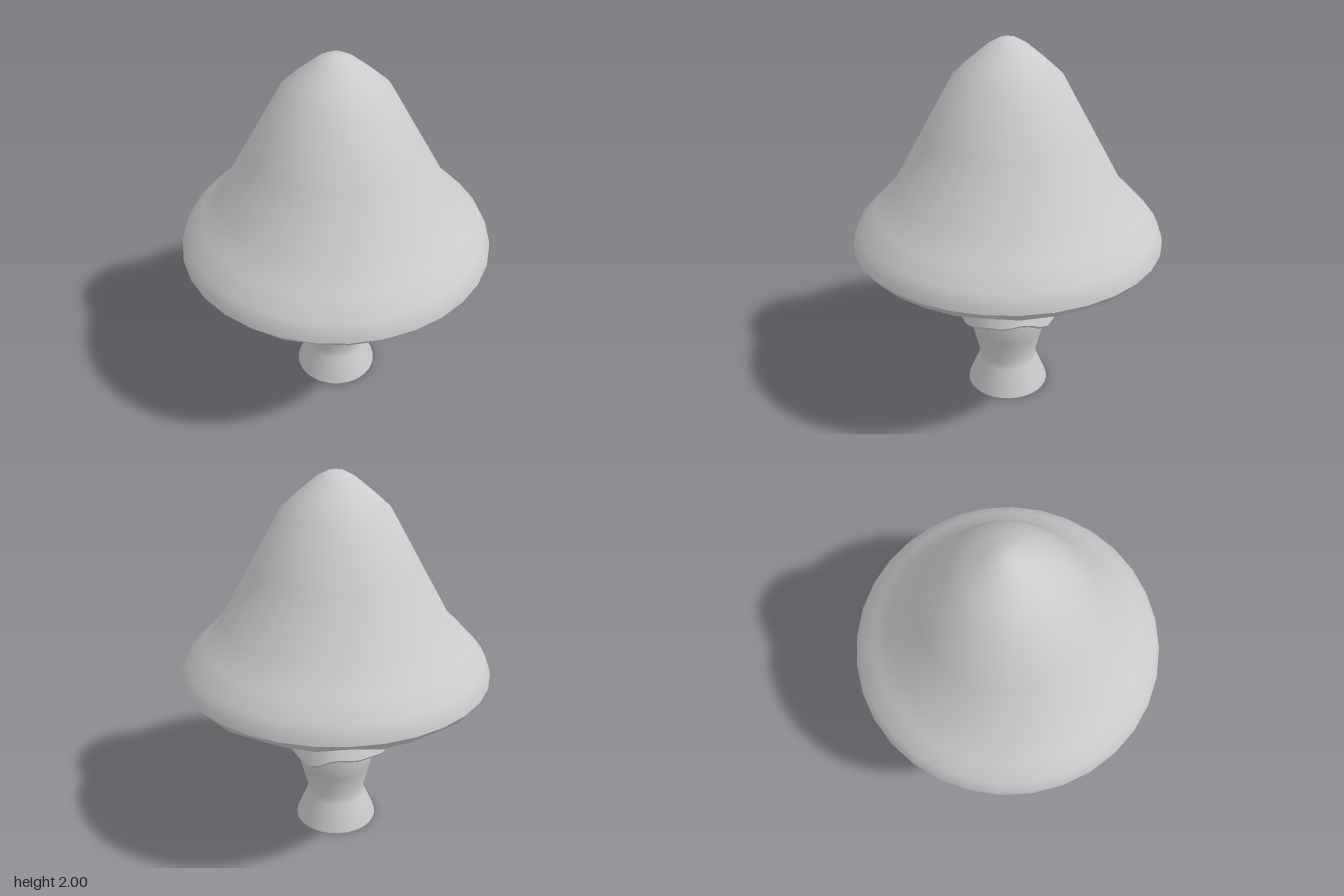
import * as THREE from 'three';
import { toCreasedNormals } from 'three/addons/utils/BufferGeometryUtils.js';

const SIDES = 32;

// Surface through rings; each ring is [radius, y] or a function (angle, index) => [radius, y].
// Rings run up the outside of the part, so faces point outward.
function ringSurface(name, rings, crease) {
  const pos = [], index = [];
  const radius = [];
  rings.forEach((ring) => {
    for (let j = 0; j < SIDES; j++) {
      const a = (j / SIDES) * Math.PI * 2;
      const [r, y] = typeof ring === 'function' ? ring(a, j) : ring;
      pos.push(r * Math.sin(a), y, r * Math.cos(a));
      if (j === 0) radius.push(r);
    }
  });
  for (let i = 0; i < rings.length - 1; i++) {
    for (let j = 0; j < SIDES; j++) {
      const k = (j + 1) % SIDES;
      const a = i * SIDES + j, b = i * SIDES + k;
      const c = b + SIDES, d = a + SIDES;
      if (radius[i] > 0) index.push(a, b, c);
      if (radius[i + 1] > 0) index.push(a, c, d);
      else index.push(a, b, d);
    }
  }
  // Drop the collapsed halves at the poles
  const tris = [];
  for (let t = 0; t < index.length; t += 3) {
    const p = index.slice(t, t + 3);
    const v = p.map((n) => new THREE.Vector3().fromArray(pos, n * 3));
    if (new THREE.Triangle(...v).getArea() > 1e-8) tris.push(...p);
  }
  const geo = new THREE.BufferGeometry();
  geo.setAttribute('position', new THREE.Float32BufferAttribute(pos, 3));
  geo.setIndex(tris);
  const mesh = new THREE.Mesh(
    toCreasedNormals(geo, crease),
    new THREE.MeshStandardMaterial({ color: 0xcccccc, side: THREE.DoubleSide })
  );
  mesh.name = name;
  return mesh;
}

export function createModel() {
  const group = new THREE.Group();
  group.name = 'mushroom';

  // Lower stem with flared foot
  group.add(ringSurface('stem', [
    [0, 0], [0.225, 0], [0.222, 0.015], [0.165, 0.15], [0.156, 0.19],
    [0.195, 0.34], [0.232, 0.48], [0.2, 0.58],
  ], 0.75));

  // Hanging skirt with a wavy, slightly curled hem, rising into the neck
  const hem = (a) => 0.485 + 0.022 * Math.cos(4 * a + Math.PI)
    + 0.012 * Math.sin(7 * a);
  group.add(ringSurface('skirt', [
    (a) => [0.22, hem(a) + 0.05],
    (a) => [0.262, hem(a) + 0.012],
    (a) => [0.268, hem(a) - 0.008],
    (a) => [0.287, hem(a) + 0.012],
    [0.272, 0.55], [0.225, 0.68], [0.187, 0.785], [0.187, 0.88],
  ], 0.75));

  // Pleated gills: even spokes are ridges, odd spokes are valleys
  const pleat = (ridge, valley) => (a, j) => (j % 2 ? valley : ridge);
  group.add(ringSurface('gills', [
    [0.187, 0.88],
    pleat([0.275, 1.0], [0.235, 1.03]),
    pleat([0.37, 1.1], [0.31, 1.2]),
    pleat([0.5, 1.11], [0.45, 1.24]),
    pleat([0.62, 1.06], [0.59, 1.13]),
    [0.7, 0.99],
  ], 0.4));

  // Cap: inner wall, ragged rim, then the outside up to the tip
  const ragged = (a, j) => [0.785, 0.888 + 0.006 * Math.sin(j * 2.4) + 0.004 * Math.sin(j * 4.1)];
  group.add(ringSurface('cap', [
    [0.7, 0.99], [0.75, 0.93], ragged,
    [0.82, 0.932], [0.813, 0.97], [0.785, 1.025], [0.7, 1.115], [0.6, 1.22],
    [0.44, 1.51], [0.278, 1.805], [0.19, 1.885], [0.1, 1.96], [0.045, 1.991], [0, 2],
  ], 0.6));

  return group;
}
